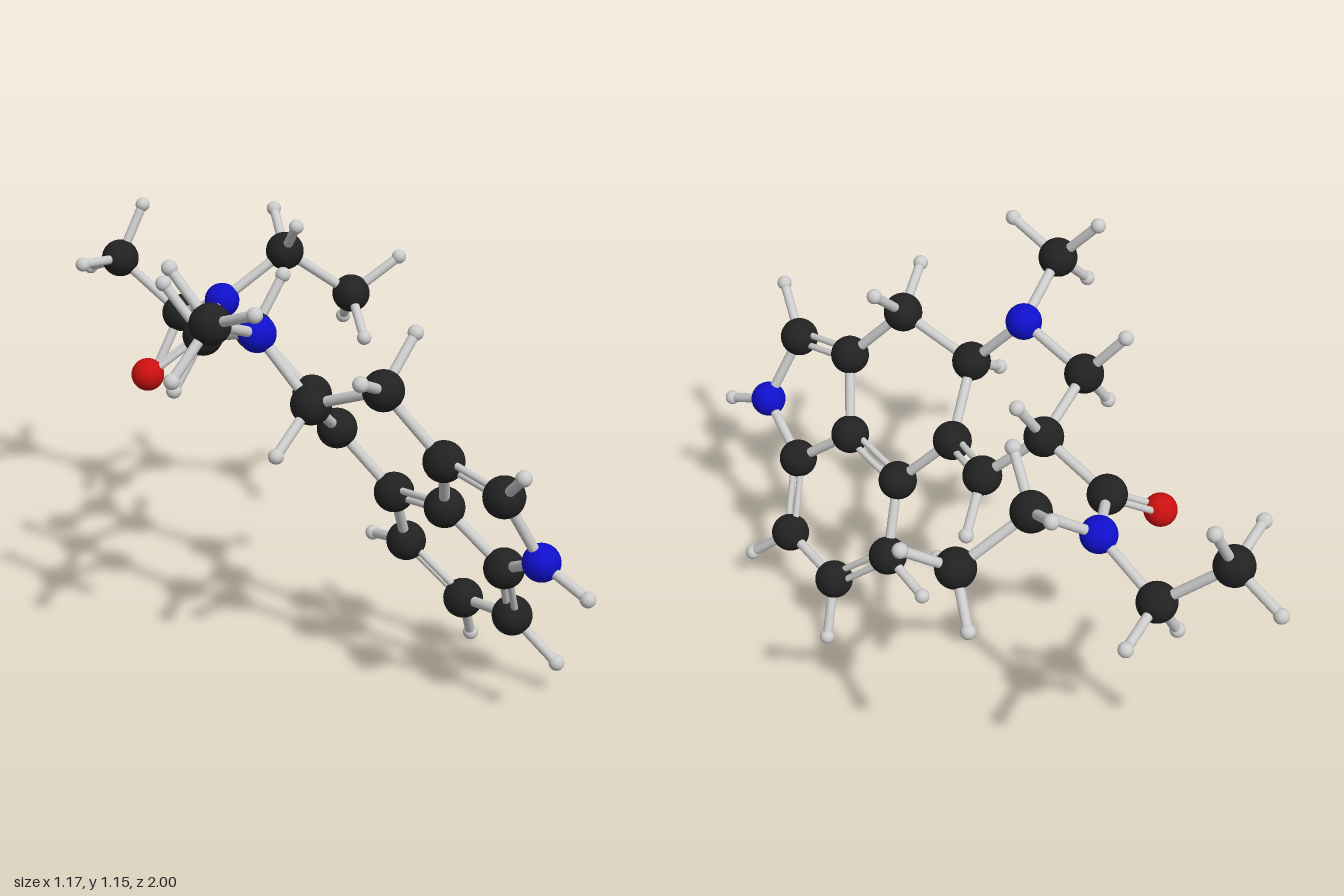
import * as THREE from 'three';

// Atom positions; H lists hold the hydrogens attached to each atom
const ATOMS = {
  // five-membered ring and benzene ring
  n1: ['N', [0.05, 0.47, 0.845], [[0.072, 0.416, 0.982]]],
  c2: ['C', [-0.045, 0.655, 0.807], [[-0.098, 0.756, 0.924]]],
  c3: ['C', [-0.058, 0.685, 0.609]],
  c3a: ['C', [0.032, 0.508, 0.518]],
  c4: ['C', [0.05, 0.473, 0.308]],
  c5: ['C', [0.141, 0.292, 0.256], [[0.161, 0.254, 0.1]]],
  c6: ['C', [0.21, 0.16, 0.406], [[0.282, 0.02, 0.362]]],
  c7: ['C', [0.188, 0.196, 0.612], [[0.24, 0.088, 0.725]]],
  c7a: ['C', [0.096, 0.377, 0.671]],
  // upper rings
  c8: ['C', [-0.14, 0.849, 0.478], [[-0.271, 0.917, 0.546], [-0.02, 0.964, 0.457]]],
  c9: ['C', [-0.195, 0.764, 0.271], [[-0.327, 0.668, 0.297]]],
  c10: ['C', [-0.034, 0.631, 0.18]],
  c11: ['C', [0.034, 0.651, -0.003], [[0.149, 0.548, -0.06]]],
  c12: ['C', [-0.047, 0.808, -0.144], [[0.047, 0.943, -0.14]]],
  c13: ['C', [-0.264, 0.863, -0.077], [[-0.357, 0.734, -0.08], [-0.32, 0.99, -0.167]]],
  n6: ['N', [-0.257, 0.926, 0.137]],
  c14: ['C', [-0.449, 1.011, 0.2],
    [[-0.491, 1.135, 0.097], [-0.435, 1.073, 0.355], [-0.566, 0.893, 0.2]]],
  // amide and its two ethyl arms
  c15: ['C', [-0.053, 0.74, -0.362]],
  o1: ['O', [-0.198, 0.641, -0.416]],
  n2: ['N', [0.104, 0.768, -0.48]],
  c16: ['C', [0.272, 0.894, -0.412], [[0.222, 1.0, -0.3], [0.337, 0.973, -0.541]]],
  c17: ['C', [0.435, 0.76, -0.32],
    [[0.373, 0.678, -0.19], [0.562, 0.855, -0.264], [0.491, 0.654, -0.42]]],
  c18: ['C', [0.109, 0.676, -0.681], [[0.267, 0.65, -0.726], [0.024, 0.535, -0.68]]],
  c19: ['C', [0.011, 0.821, -0.831],
    [[0.093, 0.963, -0.831], [0.011, 0.757, -0.982], [-0.146, 0.845, -0.788]]],
};

const SINGLE = [
  'n1 c2', 'n1 c7a', 'c3 c3a', 'c3a c7a', 'c4 c5', 'c6 c7', 'c3 c8', 'c8 c9', 'c9 c10',
  'c10 c4', 'c11 c12', 'c12 c13', 'c13 n6', 'n6 c9', 'n6 c14', 'c12 c15', 'c15 n2',
  'n2 c16', 'c16 c17', 'n2 c18', 'c18 c19',
];
// Third name is a neighbour that fixes the plane of the pair of rods
const DOUBLE = ['c2 c3 n1', 'c3a c4 c3', 'c5 c6 c4', 'c7 c7a c6', 'c10 c11 c4', 'c15 o1 n2'];

const KINDS = {
  C: { name: 'carbonAtom', radius: 0.052, color: 0x222222 },
  N: { name: 'nitrogenAtom', radius: 0.048, color: 0x0f0fcc },
  O: { name: 'oxygenAtom', radius: 0.044, color: 0xcc0f0f },
  H: { name: 'hydrogenAtom', radius: 0.02, color: 0xcccccc },
};

export function createModel() {
  const model = new THREE.Group();
  model.name = 'molecule';
  const atoms = new THREE.Group();
  atoms.name = 'atoms';
  const bonds = new THREE.Group();
  bonds.name = 'bonds';
  model.add(atoms, bonds);

  for (const kind of Object.values(KINDS)) {
    kind.geometry = new THREE.SphereGeometry(kind.radius, 32, 20);
    kind.material = new THREE.MeshStandardMaterial({ color: kind.color });
  }
  const rod = new THREE.CylinderGeometry(1, 1, 1, 16);
  const rodMaterial = new THREE.MeshStandardMaterial({ color: 0xcccccc });
  const up = new THREE.Vector3(0, 1, 0);
  const vec = (p) => new THREE.Vector3(...p);
  const at = (key) => vec(ATOMS[key][1]);

  function addAtom(type, position) {
    const { name, geometry, material } = KINDS[type];
    const mesh = new THREE.Mesh(geometry, material);
    mesh.name = name;
    mesh.position.copy(position);
    atoms.add(mesh);
  }

  function addRod(a, b, radius, name) {
    const span = b.clone().sub(a);
    const mesh = new THREE.Mesh(rod, rodMaterial);
    mesh.name = name;
    mesh.position.copy(a).add(b).multiplyScalar(0.5);
    mesh.scale.set(radius, span.length(), radius);
    mesh.quaternion.setFromUnitVectors(up, span.normalize());
    bonds.add(mesh);
  }

  // Atoms with their hydrogens
  for (const [type, p, hydrogens = []] of Object.values(ATOMS)) {
    addAtom(type, vec(p));
    for (const h of hydrogens) {
      addAtom('H', vec(h));
      addRod(vec(p), vec(h), 0.013, 'hydrogenBond');
    }
  }

  // Single bonds
  for (const pair of SINGLE) {
    const [a, b] = pair.split(' ').map(at);
    addRod(a, b, 0.0135, 'singleBond');
  }

  // Double bonds: two thin rods side by side in the local plane
  for (const triple of DOUBLE) {
    const [a, b, c] = triple.split(' ').map(at);
    const along = b.clone().sub(a).normalize();
    const side = c.sub(a);
    side.addScaledVector(along, -side.dot(along)).normalize();
    for (const s of [-0.014, 0.014]) {
      const shift = side.clone().multiplyScalar(s);
      addRod(a.clone().add(shift), b.clone().add(shift), 0.009, 'doubleBond');
    }
  }
  return model;
}
